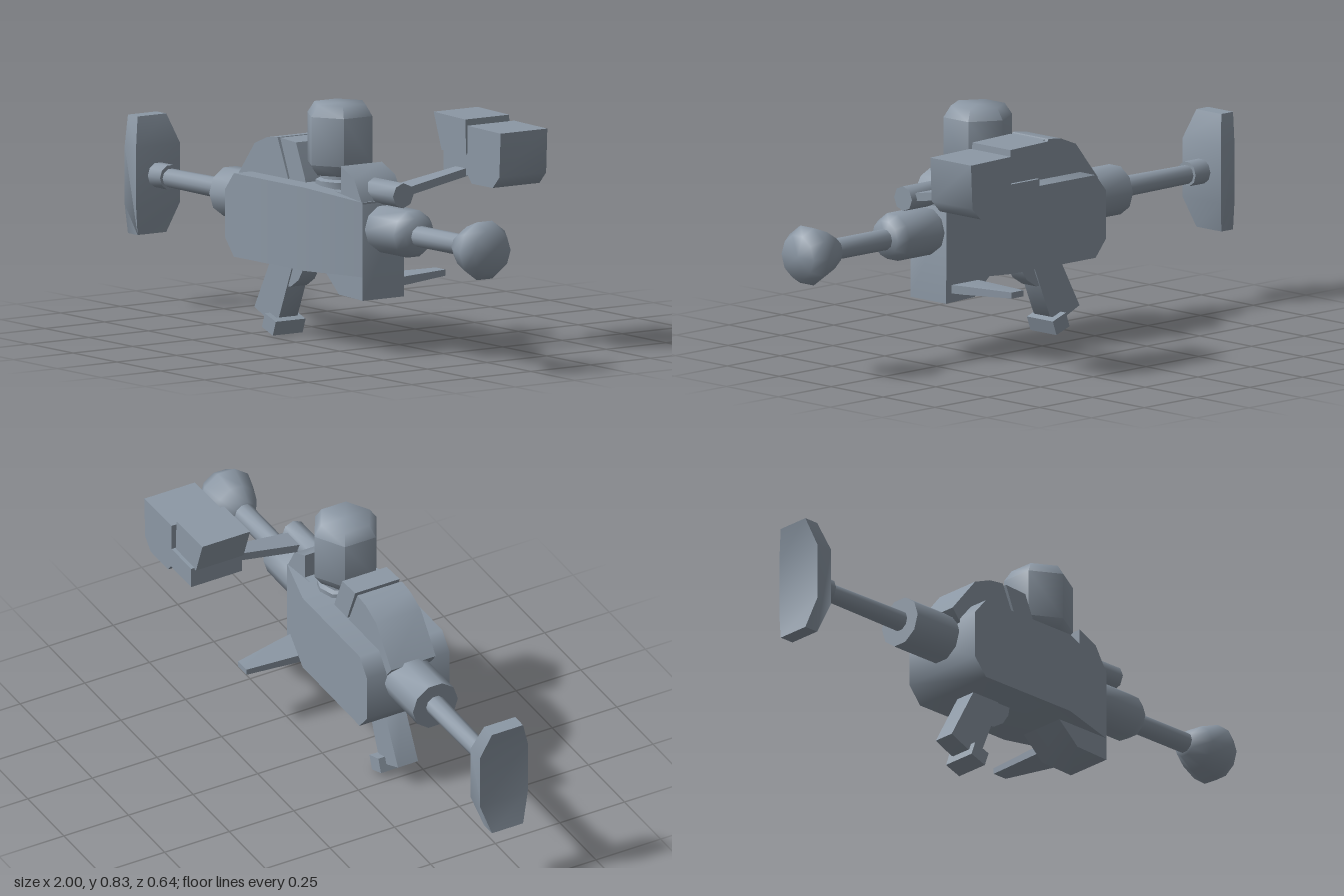
import * as THREE from 'three';
import { toCreasedNormals } from 'three/addons/utils/BufferGeometryUtils.js';
import { ConvexGeometry } from 'three/addons/geometries/ConvexGeometry.js';

const CREASE = 1.1;
const MID_Z = 0.162;

export function createModel() {
  const group = new THREE.Group();
  const steel = new THREE.MeshStandardMaterial({ color: 0x8c98a5 });
  steel.name = 'steel grey';

  const add = (name, geometry) => {
    const mesh = new THREE.Mesh(toCreasedNormals(geometry, CREASE), steel);
    mesh.name = name;
    group.add(mesh);
    return mesh;
  };

  // Side profile in x/y, extruded from z0 to z1
  const slab = (points, z0, z1) => {
    const shape = new THREE.Shape(points.map(([x, y]) => new THREE.Vector2(x, y)));
    return new THREE.ExtrudeGeometry(shape, { depth: z1 - z0, bevelEnabled: false }).translate(0, 0, z0);
  };

  // Closed turned part: profile of [radius, height]
  const turned = (profile, sides) => {
    const ends = [[0, profile[0][1]], ...profile, [0, profile[profile.length - 1][1]]];
    return new THREE.LatheGeometry(ends.map(([r, h]) => new THREE.Vector2(r, h)), sides);
  };

  // Turned part lying along x
  const along = (name, profile, sides, y, z = MID_Z) =>
    add(name, turned(profile, sides).rotateZ(-Math.PI / 2).translate(0, y, z));

  const hull = (points) => new ConvexGeometry(points.map((p) => new THREE.Vector3(...p)));

  // Main body: wide on the right, tapering in towards the left end
  const bodyPoints = [];
  for (const [x, y0, y1, half] of [
    [-0.305, 0.335, 0.50, 0.16], [-0.255, 0.275, 0.56, 0.16],
    [0.14, 0.275, 0.56, 0.16], [0.378, 0.275, 0.53, 0.087],
  ]) {
    for (const y of [y0, y1]) for (const s of [-1, 1]) bodyPoints.push([x, y, MID_Z + s * half]);
  }
  add('body', hull(bodyPoints));

  // Narrow spine block at the left end of the body, with a hump and a keel
  add('endBlock', slab([
    [0.1, 0.30], [0.16, 0.275], [0.245, 0.20], [0.38, 0.195], [0.38, 0.52],
    [0.33, 0.605], [0.255, 0.64], [0.255, 0.55], [0.1, 0.55],
  ], 0.076, 0.249));

  // Domed cover in two pieces with a narrow slot between
  add('rearCover', slab([
    [-0.30, 0.48], [-0.02, 0.50], [-0.045, 0.56], [-0.105, 0.695],
    [-0.165, 0.688], [-0.235, 0.66], [-0.34, 0.53],
  ], 0.077, 0.249));
  add('frontCover', slab([
    [-0.02, 0.53], [0.06, 0.54], [0.05, 0.575], [0, 0.69], [-0.09, 0.695], [-0.035, 0.56],
  ], 0.077, 0.249));

  // Upright hexagonal canister on a collar
  add('canister', turned([[0.093, 0.595], [0.12, 0.632], [0.12, 0.797], [0.094, 0.836]], 6)
    .translate(0.14, 0, 0.168));
  add('canisterCollar', turned([[0.09, 0.54], [0.09, 0.575], [0.075, 0.582], [0.075, 0.61]], 10)
    .translate(0.145, 0, MID_Z));

  // Right end: socket, rod, ferrule and shoulder plate
  along('rightSocket', [[0.087, -0.5], [0.087, -0.29]], 10, 0.455, 0.158);
  along('rightRod', [[0.032, -0.86], [0.036, -0.48]], 10, 0.458, 0.158);
  along('rightFerrule', [[0.043, -0.93], [0.043, -0.84]], 10, 0.46, 0.158);
  const plate = slab([
    [-1, 0.255], [-0.945, 0.255], [-0.91, 0.36], [-0.91, 0.56],
    [-0.945, 0.66], [-1, 0.66], [-0.975, 0.56], [-0.975, 0.36],
  ], 0.065, 0.25);
  const pos = plate.attributes.position;
  for (let i = 0; i < pos.count; i++) {
    // narrow the two ends of the plate
    if (Math.abs(pos.getY(i) - 0.458) > 0.15) pos.setZ(i, 0.158 + (pos.getZ(i) - 0.158) * 0.65);
  }
  add('shoulderPlate', plate);

  // Left end: hub, rod and flared knob
  along('leftHub', [[0.072, 0.36], [0.083, 0.395], [0.083, 0.55], [0.062, 0.587]], 10, 0.437);
  along('leftRod', [[0.036, 0.57], [0.036, 0.85]], 10, 0.433);
  along('flaredKnob', [[0.046, 0.83], [0.078, 0.885], [0.104, 0.955], [0.077, 1]], 10, 0.43);

  // Slanted grip with a pin at its foot, and a trigger in front
  add('grip', slab([
    [-0.18, 0.31], [-0.3, 0.088], [-0.225, 0.055], [-0.16, 0.068], [-0.085, 0.25], [-0.08, 0.31],
  ], 0.125, 0.203));
  add('gripPin', new THREE.BoxGeometry(0.066, 0.052, 0.125)
    .rotateZ(-0.34).translate(-0.188, 0.043, MID_Z));
  add('trigger', slab([
    [-0.13, 0.30], [-0.13, 0.18], [-0.10, 0.18], [-0.055, 0.208], [-0.03, 0.245], [-0.02, 0.30],
  ], 0.13, 0.198));

  // Flat tapered lever sticking out of the back
  const lever = [];
  for (const [x0, x1, z, y0, y1] of [
    [0.225, 0.36, 0.10, 0.227, 0.256], [0.233, 0.345, 0.03, 0.228, 0.257], [0.243, 0.30, -0.158, 0.235, 0.256],
  ]) {
    for (const x of [x0, x1]) for (const y of [y0, y1]) lever.push([x, y, z]);
  }
  add('lever', hull(lever));

  // Side pivot and arm carrying the rear box
  along('armPivot', [[0.043, 0.33], [0.043, 0.497]], 8, 0.561, 0.165);
  const arm = [];
  for (const [x0, x1, y, z] of [[0.39, 0.475, 0.563, 0.16], [0.40, 0.455, 0.615, -0.16]]) {
    for (const x of [x0, x1]) for (const dy of [-0.014, 0.014]) arm.push([x, y + dy, z]);
  }
  add('arm', hull(arm));

  // Stepped rear box with a smaller box on its step
  add('rearBox', slab([
    [0.33, 0.60], [0.47, 0.60], [0.49, 0.575], [0.61, 0.575], [0.648, 0.615],
    [0.655, 0.766], [0.465, 0.77], [0.465, 0.675], [0.33, 0.675],
  ], -0.323, -0.127));
  add('smallBox', slab([
    [0.32, 0.67], [0.46, 0.67], [0.455, 0.79], [0.275, 0.795],
  ], -0.31, -0.126));

  return group;
}
